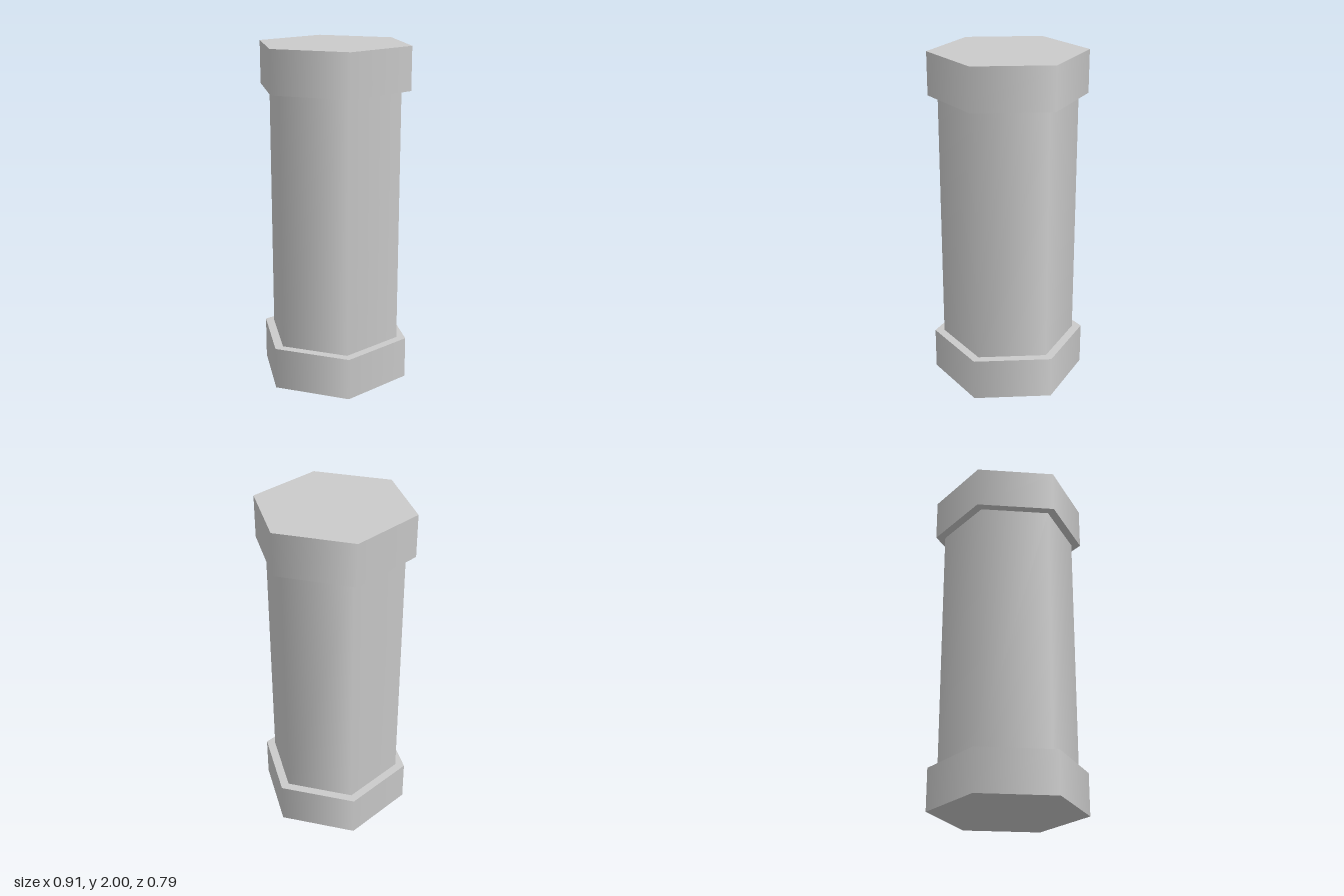
import * as THREE from 'three';

const material = new THREE.MeshStandardMaterial({ color: 0xcccccc });

// Six-sided prism with corners on the x axis and smooth side normals
function hexPrism(name, radius, bottom, top) {
  const height = top - bottom;
  const geometry = new THREE.CylinderGeometry(radius, radius, height, 6, 1, false, Math.PI / 2);
  const mesh = new THREE.Mesh(geometry, material);
  mesh.name = name;
  mesh.position.y = bottom + height / 2;
  return mesh;
}

export function createModel() {
  const group = new THREE.Group();
  group.name = 'hexagonalColumn';
  group.add(
    hexPrism('base', 0.456, 0, 0.25),
    hexPrism('shaft', 0.4, 0.25, 1.75),
    hexPrism('capital', 0.456, 1.75, 2)
  );
  return group;
}
